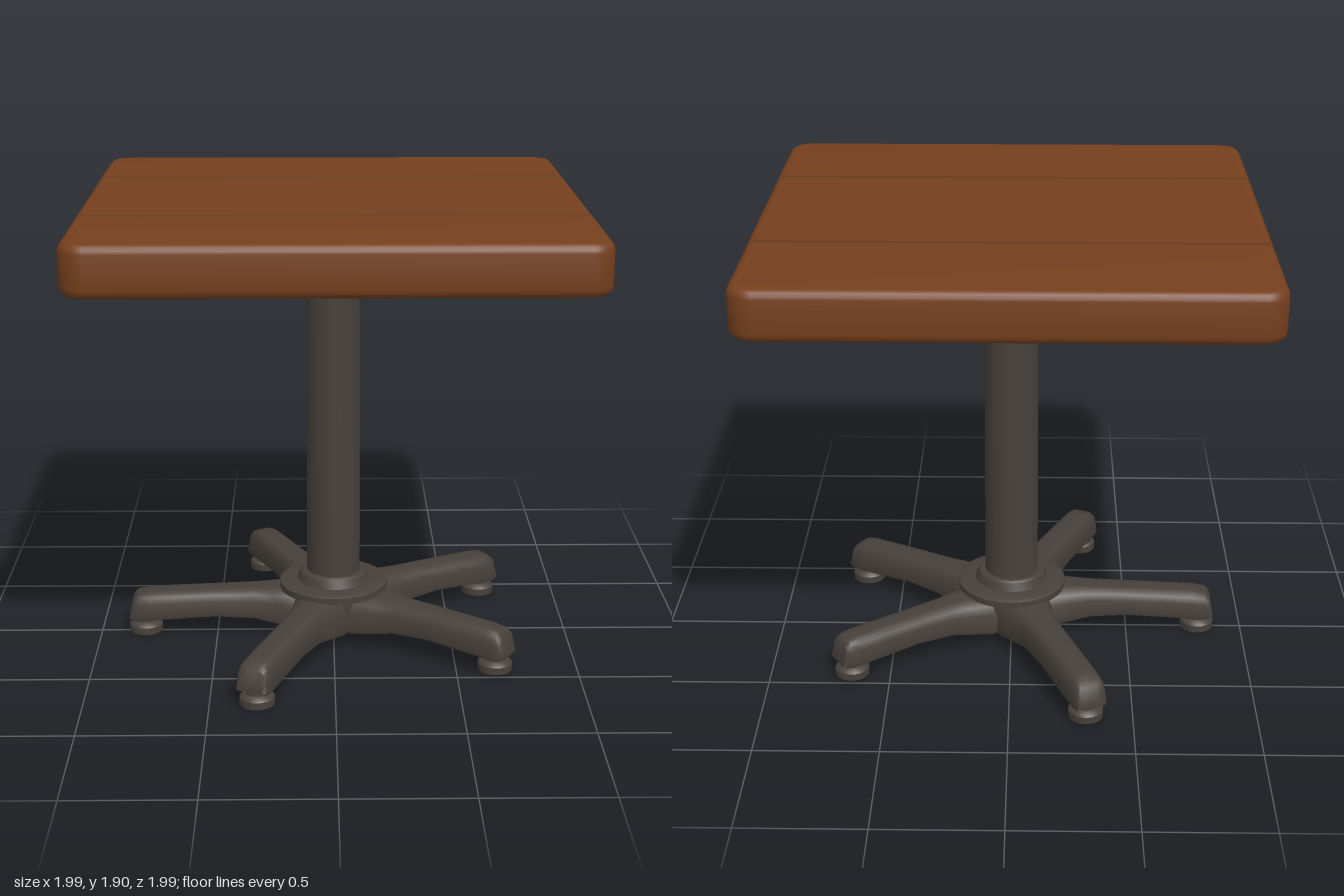
import * as THREE from 'three';
import { toCreasedNormals } from 'three/addons/utils/BufferGeometryUtils.js';

const mat = (name, color) => {
  const m = new THREE.MeshStandardMaterial({ color });
  m.name = name;
  return m;
};

// Rounded square slab, with every vertex clamped to one plank's z range
function plankGeometry(z0, z1) {
  const bevel = 0.035, h = 0.997 - bevel, r = 0.06;
  const s = new THREE.Shape();
  s.moveTo(-h + r, -h);
  s.lineTo(h - r, -h);
  s.absarc(h - r, -h + r, r, -Math.PI / 2, 0, false);
  s.lineTo(h, h - r);
  s.absarc(h - r, h - r, r, 0, Math.PI / 2, false);
  s.lineTo(-h + r, h);
  s.absarc(-h + r, h - r, r, Math.PI / 2, Math.PI, false);
  s.lineTo(-h, -h + r);
  s.absarc(-h + r, -h + r, r, Math.PI, Math.PI * 1.5, false);
  const g = new THREE.ExtrudeGeometry(s, {
    depth: 0.2 - 2 * bevel, bevelEnabled: true, bevelSize: bevel,
    bevelThickness: bevel, bevelSegments: 4, curveSegments: 7,
  });
  g.rotateX(-Math.PI / 2);
  g.translate(0, 1.7 + bevel, 0);
  const p = g.attributes.position;
  for (let i = 0; i < p.count; i++) p.setZ(i, THREE.MathUtils.clamp(p.getZ(i), z0, z1));
  return toCreasedNormals(g, 0.6);
}

// Leg lofted along +x; each section is [x, half width, bottom y, top y]
function legGeometry(reach) {
  const sections = [
    [0, 0.13, 0.06, 0.215], [0.17, 0.13, 0.06, 0.215], [0.25, 0.1, 0.068, 0.212],
    [0.34, 0.083, 0.085, 0.208], [0.5, 0.078, 0.092, 0.202],
    [reach - 0.12, 0.077, 0.08, 0.195], [reach - 0.02, 0.076, 0.072, 0.19],
    [reach + 0.03, 0.074, 0.07, 0.182], [reach + 0.05, 0.068, 0.07, 0.165],
    [reach + 0.065, 0.06, 0.075, 0.09],
  ];
  // Half profile as fractions of width and height
  const half = [[0.94, 0], [1, 0.12], [0.9, 0.6], [0.8, 0.84], [0.62, 0.96], [0.35, 1]];
  const profile = [...half, ...half.slice().reverse().map(([w, t]) => [-w, t])];
  const n = profile.length, pos = [], idx = [];
  for (const [x, w, b, t] of sections)
    for (const [u, v] of profile) pos.push(x, b + (t - b) * v, w * u);
  for (let i = 0; i < sections.length - 1; i++)
    for (let j = 0; j < n; j++) {
      const a = i * n + j, b = i * n + (j + 1) % n;
      idx.push(a, a + n, b, b, a + n, b + n);
    }
  const last = (sections.length - 1) * n;
  for (let j = 1; j < n - 1; j++) {
    idx.push(0, j, j + 1);
    idx.push(last, last + j + 1, last + j);
  }
  const g = new THREE.BufferGeometry();
  g.setAttribute('position', new THREE.Float32BufferAttribute(pos, 3));
  g.setIndex(idx);
  return toCreasedNormals(g, 0.7);
}

// Turned part from [radius, y] points, listed bottom to top
function turned(points, segments = 40) {
  const g = new THREE.LatheGeometry(points.map(([r, y]) => new THREE.Vector2(r, y)), segments);
  return toCreasedNormals(g, 0.6);
}

export function createModel() {
  const wood = mat('wood', 0x753f1d);
  const metal = mat('metal', 0x46403b);
  const darkMetal = mat('dark metal', 0x343331);
  const model = new THREE.Group();
  model.name = 'pedestalTable';
  const add = (name, geometry, material, parent = model) => {
    const mesh = new THREE.Mesh(geometry, material);
    mesh.name = name;
    parent.add(mesh);
    return mesh;
  };

  // Table top: three planks and the recessed joints between them
  add('backPlank', plankGeometry(-1, -0.455), wood);
  add('middlePlank', plankGeometry(-0.425, 0.42), wood);
  add('frontPlank', plankGeometry(0.45, 1), wood);
  for (const z of [-0.44, 0.435])
    add('plankJoint', new THREE.BoxGeometry(1.965, 0.178, 0.04), wood).position.set(0, 1.8, z);

  // Mounting plate with bolts under the top
  add('mountingPlate', turned([[0, 1.665], [0.22, 1.665], [0.22, 1.702], [0, 1.702]]), darkMetal);
  const boltGeometry = new THREE.CylinderGeometry(0.014, 0.014, 0.02, 8);
  for (let i = 0; i < 8; i++) {
    const a = (i + 0.5) * Math.PI / 4;
    add('bolt', boltGeometry, darkMetal).position.set(0.18 * Math.cos(a), 1.661, 0.18 * Math.sin(a));
  }

  // Column with its top collar
  add('column', turned([[0.113, 0.25], [0.11, 1.64]]), metal);
  add('collar', turned([
    [0.108, 1.525], [0.116, 1.54], [0.116, 1.625], [0.14, 1.632], [0.145, 1.652], [0.145, 1.67],
  ]), metal);

  // Stepped base flange and central hub
  add('baseFlange', turned([
    [0.19, 0.205], [0.23, 0.208], [0.23, 0.235], [0.215, 0.243], [0.155, 0.245],
    [0.142, 0.28], [0.132, 0.287], [0.1, 0.287],
  ]), metal);
  add('hub', turned([[0, 0.059], [0.18, 0.059], [0.19, 0.075], [0.19, 0.212], [0, 0.212]]), metal);

  // Five legs, each with a levelling foot
  const footGeometry = turned([
    [0, 0], [0.066, 0], [0.071, 0.006], [0.071, 0.035], [0.062, 0.045], [0.046, 0.052], [0.042, 0.1],
  ], 24);
  for (const [x, z] of [[-0.81, 0], [-0.31, 0.73], [-0.31, -0.73], [0.66, 0.42], [0.66, -0.42]]) {
    const reach = Math.hypot(x, z);
    const leg = new THREE.Group();
    leg.name = 'leg';
    leg.rotation.y = -Math.atan2(z, x);
    model.add(leg);
    add('legArm', legGeometry(reach), metal, leg);
    add('foot', footGeometry, metal, leg).position.x = reach;
  }
  return model;
}
